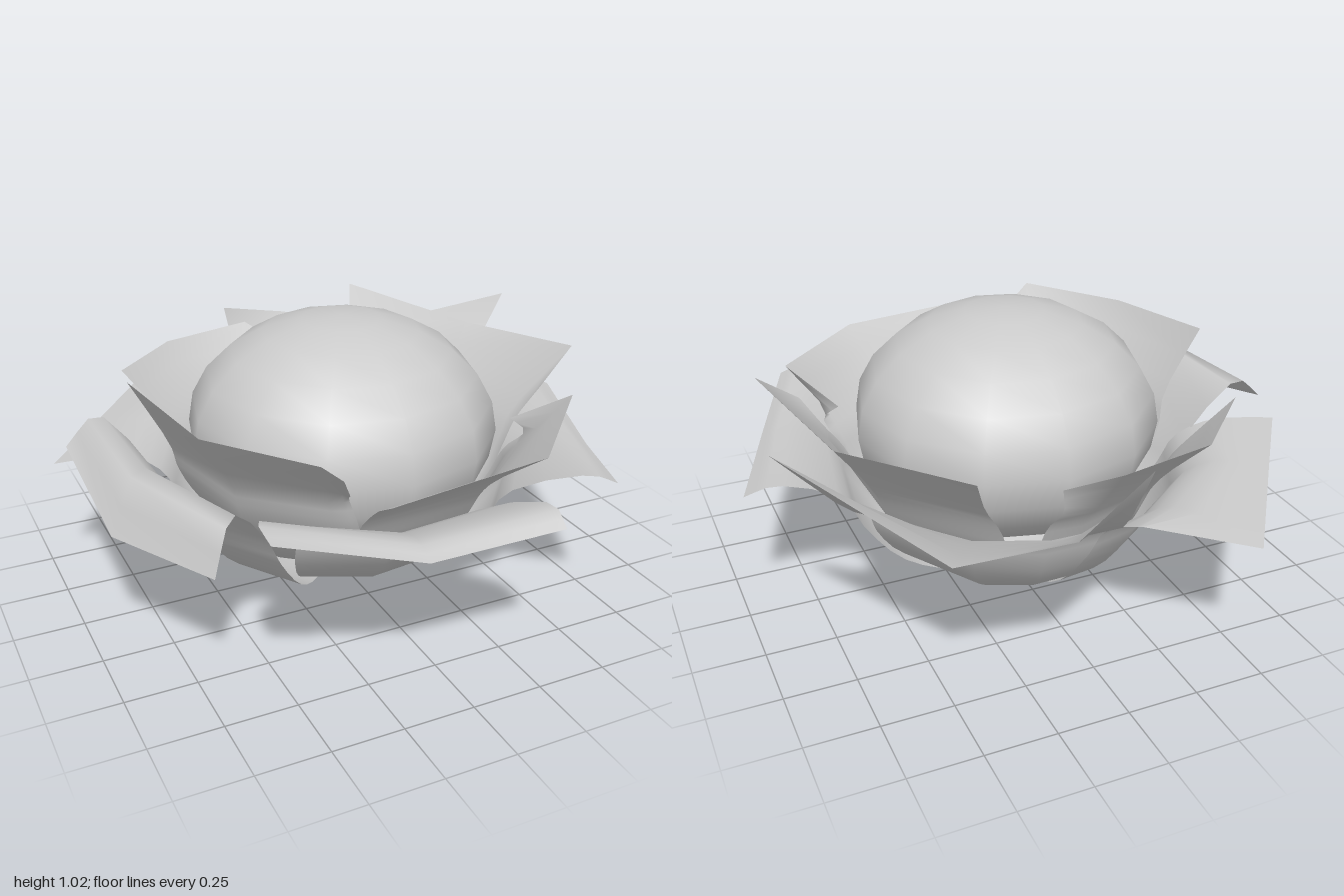
import * as THREE from 'three';

const leafMat = new THREE.MeshStandardMaterial({ color: 0xcccccc, side: THREE.DoubleSide });
const coreMat = new THREE.MeshStandardMaterial({ color: 0xcccccc });

// Bowl profile shared by all leaves: radius, height, widening of the leaf
const bowl = [[0.04, 0, 1.2], [0.3, 0.075, 1.3], [0.48, 0.18, 1.25], [0.6, 0.33, 1.15], [0.655, 0.44, 1.08]];

// Each leaf: rim points, a crest (points, or radius and height) below the rim,
// and the scale and lift that nest it inside its neighbours
const outerLeaves = [
  { name: 'outerLeafBackRight', scale: 0.99, lift: 0.02, bend: [0.78, 0.53],
    rim: [[-1, 0.52, -0.25], [-0.75, 0.51, -0.59], [-0.45, 0.505, -1], [-0.14, 0.54, -0.79]] },
  { name: 'outerLeafRight', scale: 1.02, lift: 0,
    rim: [[-0.96, 0.6, -0.2], [-0.94, 0.48, 0.28], [-0.73, 0.48, 0.67]],
    crest: [[-0.84, 0.69, -0.22], [-0.82, 0.68, 0.23], [-0.66, 0.66, 0.64]] },
  { name: 'outerLeafBack', scale: 0.97, lift: 0.015, bend: [0.74, 0.52],
    rim: [[-0.12, 0.79, -0.87], [0.2, 0.69, -1], [0.54, 0.61, -0.87], [0.95, 0.84, -0.41]] },
  { name: 'outerLeafFront', scale: 0.98, lift: 0.02,
    rim: [[-0.63, 0.68, 0.88], [-0.15, 0.54, 0.95], [0.3, 0.575, 1]],
    crest: [[-0.62, 0.69, 0.75], [-0.14, 0.57, 0.86], [0.31, 0.615, 0.91]] },
  { name: 'outerLeafLeft', scale: 1, lift: 0.01,
    rim: [[0.99, 0.54, -0.1], [0.82, 0.51, 0.4], [0.65, 0.565, 0.8]],
    crest: [[0.89, 0.575, -0.13], [0.75, 0.55, 0.35], [0.56, 0.6, 0.77]] },
];
const innerLeaves = [
  { name: 'innerLeafFront', scale: 0.95, lift: 0.05, bend: [0.68, 0.57],
    rim: [[-0.26, 0.725, 0.9], [0.35, 0.725, 0.81], [0.7, 0.745, 0.45], [0.55, 0.62, 0.29]] },
  { name: 'innerLeafLeft', scale: 0.94, lift: 0.06, bend: [0.66, 0.58],
    rim: [[0.44, 0.835, -0.82], [0.73, 0.77, -0.33], [0.86, 0.825, 0.21], [0.7, 0.7, 0.25]] },
  { name: 'innerLeafRight', scale: 0.92, lift: 0.06, bend: [0.63, 0.6],
    rim: [[-0.76, 0.855, -0.07], [-0.67, 0.82, 0.4], [-0.41, 0.82, 0.74], [-0.33, 0.75, 0.73], [-0.27, 0.65, 0.65]] },
  { name: 'innerLeafBack', scale: 0.92, lift: 0.05, bend: [0.66, 0.57],
    rim: [[-0.68, 0.75, -0.45], [-0.42, 0.74, -0.71], [-0.06, 0.745, -0.79], [0.08, 0.65, -0.65]] },
];

function makeLeaf({ name, rim, crest, bend, scale, lift }) {
  const steps = 16;
  const mid = Math.atan2(rim[0][0] + rim[2][0], rim[0][2] + rim[2][2]);
  // Angle of a rim point measured from the middle of the leaf
  const offset = ([x, , z]) => {
    const d = Math.atan2(x, z) - mid;
    return Math.atan2(Math.sin(d), Math.cos(d));
  };
  const positions = [], index = [];
  rim.forEach((p, i) => {
    const d = offset(p);
    // Rib from the base, up the bowl, over the crest to the rim
    const rib = bowl.map(([r, y, widen]) => {
      const a = mid + d * widen;
      const shift = -0.07 * (1 - r / 0.7);
      return new THREE.Vector3(Math.sin(a) * r * scale, y + lift, Math.cos(a) * r * scale + shift);
    });
    if (crest) rib.push(new THREE.Vector3(...crest[i]));
    else rib.push(new THREE.Vector3(Math.sin(mid + d) * bend[0], bend[1], Math.cos(mid + d) * bend[0]));
    rib.push(new THREE.Vector3(...p));
    const curve = new THREE.CatmullRomCurve3(rib, false, 'centripetal');
    for (let j = 0; j <= steps; j++) {
      positions.push(...curve.getPoint(j / steps).toArray());
      if (i && j) {
        const b = i * (steps + 1) + j, a = b - steps - 1;
        index.push(a - 1, b - 1, b, a - 1, b, a);
      }
    }
  });
  const geo = new THREE.BufferGeometry();
  geo.setAttribute('position', new THREE.Float32BufferAttribute(positions, 3));
  geo.setIndex(index);
  geo.computeVertexNormals();
  const mesh = new THREE.Mesh(geo, leafMat);
  mesh.name = name;
  return mesh;
}

export function createModel() {
  const model = new THREE.Group();
  model.name = 'leafyHead';

  // Flattened round heart with twelve sides
  const core = new THREE.Mesh(new THREE.SphereGeometry(0.56, 12, 12), coreMat);
  core.name = 'heart';
  core.scale.y = 0.75;
  core.position.set(-0.01, 0.6, 0.035);
  model.add(core);

  // Two rings of overlapping leaves
  for (const [name, leaves] of [['outerLeaves', outerLeaves], ['innerLeaves', innerLeaves]]) {
    const ring = new THREE.Group();
    ring.name = name;
    leaves.forEach((leaf) => ring.add(makeLeaf(leaf)));
    model.add(ring);
  }
  return model;
}
